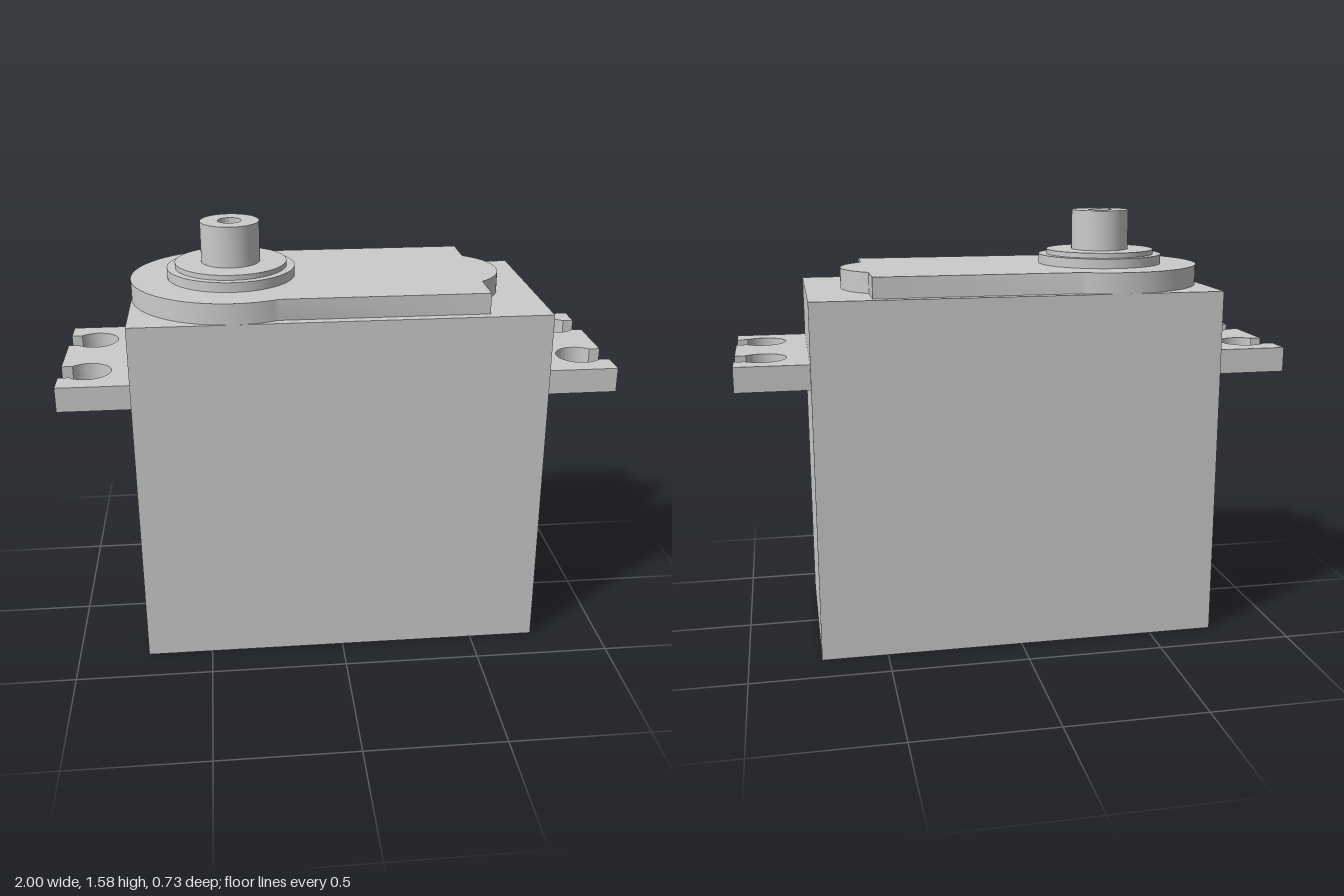
import * as THREE from 'three';
import { toCreasedNormals } from 'three/addons/utils/BufferGeometryUtils.js';

const material = new THREE.MeshStandardMaterial({ color: 0xcccccc });
const SHAFT_X = -0.375;

function addPart(group, name, geometry) {
  const mesh = new THREE.Mesh(toCreasedNormals(geometry, 0.5), material);
  mesh.name = name;
  group.add(mesh);
  return mesh;
}

// Extrude a plan outline upwards from y0 to y1
function slab(shape, y0, y1) {
  const geometry = new THREE.ExtrudeGeometry(shape, { depth: y1 - y0, bevelEnabled: false, curveSegments: 32 });
  return geometry.rotateX(-Math.PI / 2).translate(0, y0, 0);
}

// Mounting tab with two round holes that open through the outer edge
function tabShape() {
  const r = 0.083, slot = 0.057, holeX = 0.9;
  const a = Math.asin(slot / r);
  const shape = new THREE.Shape();
  shape.moveTo(0.74, -0.33);
  shape.lineTo(1, -0.33);
  for (const c of [-0.173, 0.173]) {
    shape.lineTo(1, c - slot);
    shape.lineTo(holeX + r * Math.cos(a), c - slot);
    shape.absarc(holeX, c, r, -a, a, true);
    shape.lineTo(1, c + slot);
  }
  shape.lineTo(1, 0.33);
  shape.lineTo(0.74, 0.33);
  shape.closePath();
  return shape;
}

// Cover outline: big round end, straight sides, small round bulge
function coverShape() {
  const r = 0.365, half = 0.33, endX = 0.52;
  const a = Math.asin(half / r);
  const bulgeR = 0.225, bulgeHalf = 0.18;
  const b = Math.asin(bulgeHalf / bulgeR);
  const shape = new THREE.Shape();
  shape.moveTo(endX, -half);
  shape.lineTo(endX, -bulgeHalf);
  shape.absarc(endX - bulgeR * Math.cos(b), 0, bulgeR, -b, b, false);
  shape.lineTo(endX, half);
  shape.lineTo(SHAFT_X + r * Math.cos(a), half);
  shape.absarc(SHAFT_X, 0, r, a, 2 * Math.PI - a, false);
  shape.closePath();
  return shape;
}

export function createModel() {
  const group = new THREE.Group();
  group.name = 'servoMotor';

  // Main housing
  addPart(group, 'housing', new THREE.BoxGeometry(1.48, 1.305, 0.73).translate(0, 0.6525, 0));

  // Mounting tabs at both ends
  for (const [name, turn] of [['leftTab', 0], ['rightTab', Math.PI]]) {
    addPart(group, name, slab(tabShape(), 0.995, 1.085)).rotation.y = turn;
  }

  // Raised top cover
  addPart(group, 'topCover', slab(coverShape(), 1.305, 1.38));

  // Stepped collar around the shaft
  const collar = [[0.2325, 1.38], [0.2325, 1.415], [0.203, 1.415], [0.203, 1.433], [0.1, 1.433]];
  // Output shaft with a blind screw hole
  const shaft = [[0.107, 1.433], [0.107, 1.58], [0.043, 1.58], [0.043, 1.433], [0, 1.433]];
  for (const [name, profile] of [['collar', collar], ['outputShaft', shaft]]) {
    const points = profile.map(([x, y]) => new THREE.Vector2(x, y));
    addPart(group, name, new THREE.LatheGeometry(points, 48).translate(SHAFT_X, 0, 0));
  }

  return group;
}
